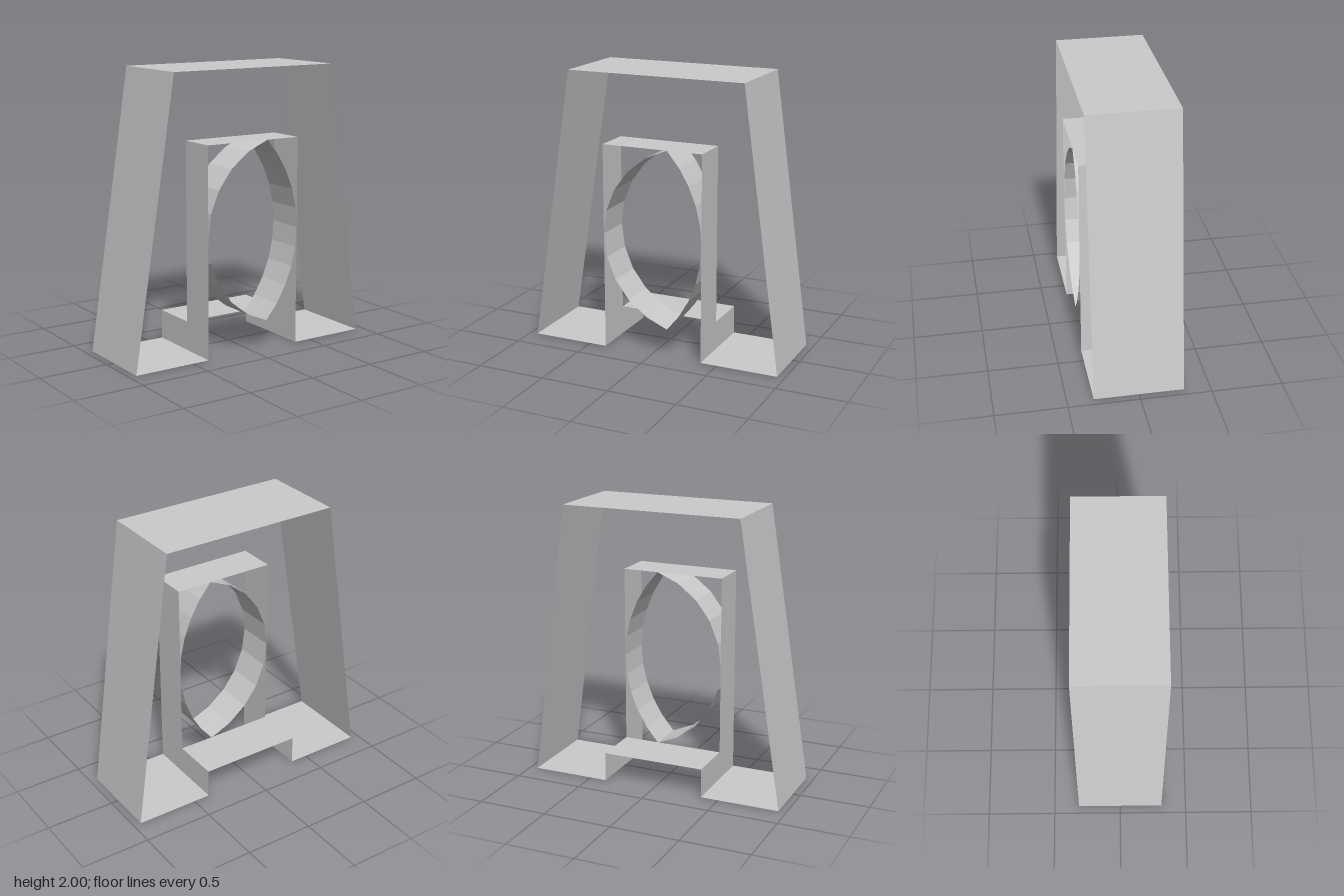
import * as THREE from 'three';

const material = new THREE.MeshStandardMaterial({
  color: 0xcccccc, flatShading: true, side: THREE.DoubleSide,
});

const BACK = -0.315, STEP = 0.035, FRONT = 0.315; // depth levels
const LEFT = 0.377, RIGHT = -0.372;               // sides of the opening

// Thin sheet: an x/y path swept straight along z
function sheet(name, path, z0, z1) {
  const pos = [];
  for (let i = 0; i < path.length - 1; i++) {
    const [ax, ay] = path[i], [bx, by] = path[i + 1];
    pos.push(ax, ay, z0, ax, ay, z1, bx, by, z1);
    pos.push(ax, ay, z0, bx, by, z1, bx, by, z0);
  }
  const geo = new THREE.BufferGeometry();
  geo.setAttribute('position', new THREE.Float32BufferAttribute(pos, 3));
  geo.computeVertexNormals();
  const mesh = new THREE.Mesh(geo, material);
  mesh.name = name;
  return mesh;
}

// Circular arc from the bottom point to the top point, bulging out to sideX
function arc(x, yLow, yHigh, sideX, segments) {
  const half = (yHigh - yLow) / 2, mid = (yHigh + yLow) / 2;
  const bulge = Math.abs(sideX - x), dir = Math.sign(sideX - x);
  const radius = (half * half + bulge * bulge) / (2 * bulge);
  const centre = sideX - dir * radius;
  const sweep = Math.atan2(half, radius - bulge);
  return Array.from({ length: segments + 1 }, (_, i) => {
    const a = sweep * (2 * i / segments - 1);
    return [centre + dir * radius * Math.cos(a), mid + radius * Math.sin(a)];
  });
}

export function createModel() {
  const model = new THREE.Group();
  model.name = 'taperedFrame';

  // Outer shell: feet, sloping sides and flat top in one band
  model.add(sheet('outerShell', [
    [RIGHT, 0], [-0.945, 0], [-0.632, 2], [0.672, 2], [0.945, 0], [LEFT, 0],
  ], BACK, FRONT));

  // Tall opening at the front and low passage at the back
  const opening = (h) => [[RIGHT, 0], [RIGHT, h], [LEFT, h], [LEFT, 0]];
  model.add(sheet('frontOpening', opening(1.5), STEP, FRONT));
  model.add(sheet('backPassage', opening(0.21), BACK, STEP));

  // Pointed ring of two unequal arcs inside the front opening
  const ring = new THREE.Group();
  ring.name = 'ring';
  ring.add(sheet('ringRightArc', arc(0.117, 0.207, 1.5, RIGHT, 10), STEP, FRONT));
  ring.add(sheet('ringLeftArc', arc(0.117, 0.207, 1.5, LEFT, 10), STEP, FRONT));
  model.add(ring);

  return model;
}
